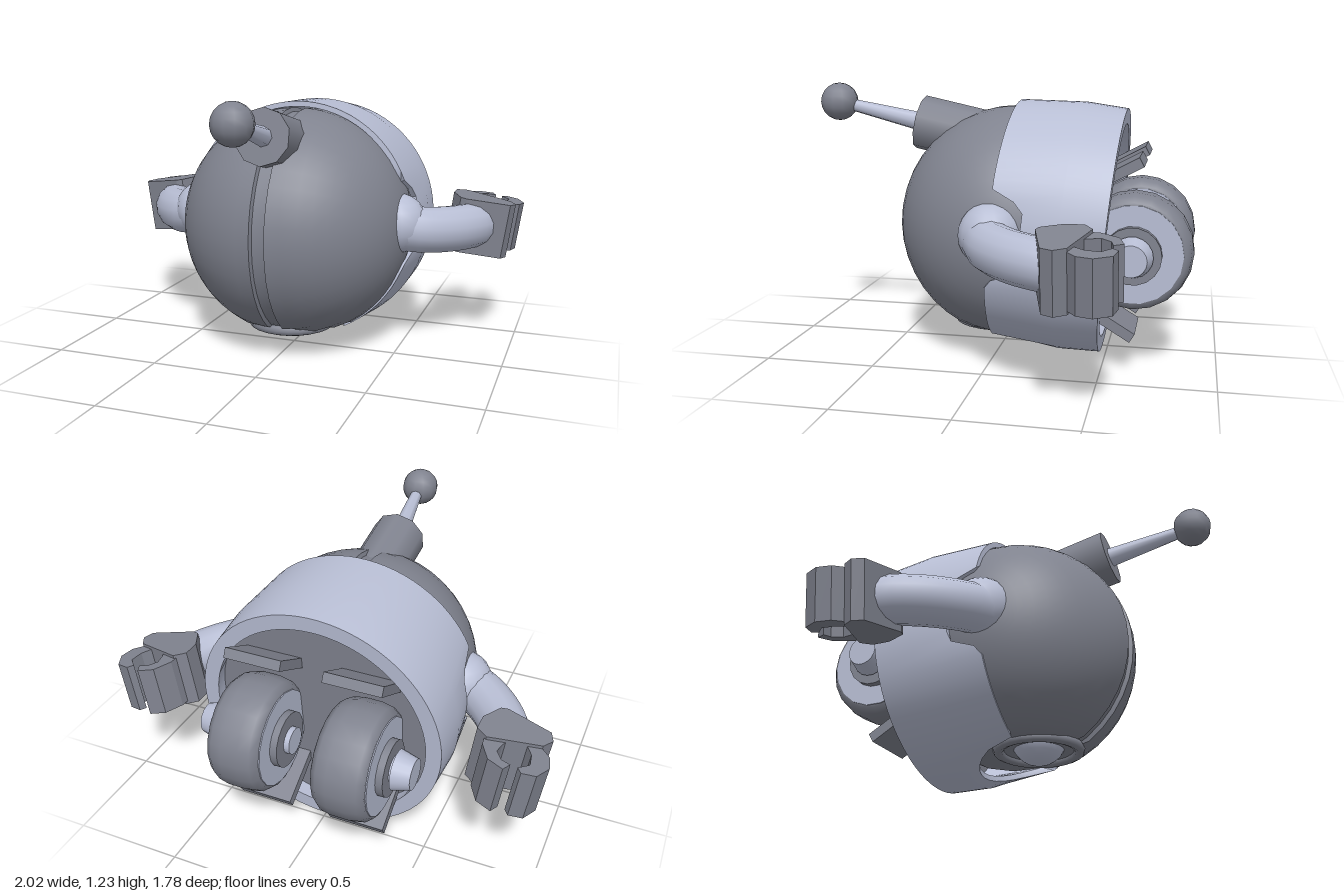
import * as THREE from 'three';
import { toCreasedNormals } from 'three/addons/utils/BufferGeometryUtils.js';

const mat = (name, color) => {
  const m = new THREE.MeshStandardMaterial({ color });
  m.name = name;
  return m;
};
const V2 = (x, y) => new THREE.Vector2(x, y);

export function createModel() {
  const light = mat('pale blue grey', 0xb8bed4);
  const dark = mat('dark grey', 0x80838f);
  const root = new THREE.Group();

  const add = (parent, name, geo, material, x = 0, y = 0, z = 0) => {
    const m = new THREE.Mesh(geo, material);
    m.name = name;
    m.position.set(x, y, z);
    parent.add(m);
    return m;
  };
  // Move every vertex by a rule, then smooth with sharp edges kept
  const reshape = (geo, rule, crease = 0.6) => {
    const p = geo.attributes.position;
    const v = new THREE.Vector3();
    for (let i = 0; i < p.count; i++) {
      v.fromBufferAttribute(p, i);
      rule(v);
      p.setXYZ(i, v.x, v.y, v.z);
    }
    return toCreasedNormals(geo, crease);
  };

  // Round body with a groove down the middle, flat below and behind
  const R = 0.545, centre = [0, 0.605, -0.06], half = [];
  const a0 = Math.asin(0.035 / R);
  for (let i = 0; i <= 12; i++) {
    const a = Math.PI / 2 + (a0 - Math.PI / 2) * (i / 12);
    half.push(V2(Math.max(R * Math.cos(a), 0.0001), -R * Math.sin(a)));
  }
  half.push(V2(R - 0.02, -0.028));
  const profile = [...half, ...half.map(p => V2(p.x, -p.y)).reverse()];
  const bodyGeo = reshape(new THREE.LatheGeometry(profile, 40).rotateZ(-Math.PI / 2), v => {
    v.y = Math.max(v.y, 0.14 - centre[1]);
    v.z = Math.max(v.z, -0.42 - centre[2]);
  });
  add(root, 'body', bodyGeo, dark, ...centre);

  // Eye underneath
  add(root, 'eyeLens', new THREE.SphereGeometry(0.13, 20, 14), light, 0, 0.2, 0.03);
  add(root, 'eyeRing', new THREE.TorusGeometry(0.185, 0.025, 8, 24).rotateX(Math.PI / 2), dark, 0, 0.14, 0.03);

  // Thick tapered shell, cut away around both arms and the eye
  const shell = new THREE.Group();
  shell.name = 'shell';
  shell.position.set(0, 0.62, -0.035);
  shell.rotation.x = -0.085;
  root.add(shell);
  const ring = [[0.565, -0.49], [0.577, -0.3], [0.56, 0], [0.535, 0], [0.525, -0.3], [0.495, -0.49], [0.565, -0.49]];
  const shellGeo = reshape(
    new THREE.LatheGeometry(ring.map(p => V2(...p)), 80).rotateX(Math.PI / 2), v => {
      if (v.z < -0.01) return;
      const dy = Math.abs(v.y - 0.015), dx = Math.abs(v.x);
      if (dy < 0.2) v.z -= 0.14 * Math.min(1, (0.2 - dy) / 0.06);
      if (v.y < 0 && dx < 0.25) v.z -= 0.25 * Math.sqrt(1 - (dx / 0.25) ** 2);
    });
  add(shell, 'shellBand', shellGeo, light);
  add(shell, 'backPlate', new THREE.CylinderGeometry(0.515, 0.515, 0.03, 40).rotateX(Math.PI / 2), dark, 0, 0, -0.4);

  // Antenna
  const antenna = new THREE.Group();
  antenna.name = 'antenna';
  root.add(antenna);
  const rod = (name, from, to, r0, r1, sides, material) => {
    const a = new THREE.Vector3(...from), b = new THREE.Vector3(...to);
    const m = add(antenna, name, new THREE.CylinderGeometry(r1, r0, a.distanceTo(b), sides), material);
    m.position.copy(a).add(b).multiplyScalar(0.5);
    m.quaternion.setFromUnitVectors(new THREE.Vector3(0, 1, 0), b.sub(a).normalize());
  };
  rod('antennaBase', [0, 0.99, 0.05], [0, 1.065, 0.405], 0.125, 0.128, 10, dark);
  rod('antennaStick', [0, 1.06, 0.38], [0.04, 1.155, 0.78], 0.046, 0.026, 8, light);
  add(antenna, 'antennaBall', new THREE.SphereGeometry(0.089, 12, 10), dark, 0.04, 1.16, 0.8);

  // Flat outline in x and depth, extruded upwards around its middle
  const slab = (pts, height) => new THREE.ExtrudeGeometry(
    new THREE.Shape(pts.map(p => V2(p[0] - 0.83, p[1]))),
    { depth: height, bevelEnabled: false }).translate(0, 0, -height / 2).rotateX(-Math.PI / 2);
  const palm = [[0.97, 0.38], [0.95, 0.33], [0.75, 0.28], [0.72, 0.29], [0.67, 0.385], [0.67, 0.465], [0.72, 0.5], [0.94, 0.43]];
  const outerFinger = [[0.93, 0.42], [0.98, 0.465], [0.995, 0.53], [0.96, 0.6], [0.9, 0.615], [0.88, 0.59],
    [0.92, 0.55], [0.91, 0.49], [0.87, 0.43]];
  const innerFinger = [[0.71, 0.48], [0.715, 0.53], [0.76, 0.605], [0.83, 0.63], [0.85, 0.59], [0.81, 0.58],
    [0.78, 0.54], [0.79, 0.49], [0.81, 0.45]];

  for (const [side, s] of [['left', 1], ['right', -1]]) {
    // Arm and claw
    const arm = new THREE.Group();
    arm.name = side + 'Arm';
    arm.scale.x = s;
    root.add(arm);
    add(arm, 'shoulder', new THREE.SphereGeometry(0.14, 16, 12), light, 0.49, 0.635, -0.04);
    const path = new THREE.CatmullRomCurve3([
      [0.5, 0.62, -0.02], [0.6, 0.605, -0.07], [0.71, 0.595, -0.18], [0.775, 0.59, -0.29], [0.8, 0.585, -0.37],
    ].map(p => new THREE.Vector3(...p)));
    add(arm, 'forearm', new THREE.TubeGeometry(path, 12, 0.108, 14), light);
    const hand = new THREE.Group();
    hand.name = 'hand';
    hand.position.set(0.83, 0.58, 0);
    hand.rotation.z = -0.14;
    arm.add(hand);
    add(hand, 'palm', slab(palm, 0.265), dark);
    add(hand, 'outerFinger', slab(outerFinger, 0.235), dark);
    add(hand, 'innerFinger', slab(innerFinger, 0.235), dark);

    // Wheel with hub, and a slanted flap above and below it
    const wheel = new THREE.Group();
    wheel.name = side + 'Wheel';
    wheel.position.set(s * 0.24, 0.545, -0.63);
    wheel.scale.x = s;
    root.add(wheel);
    const tread = [[0.2, -0.118], [0.225, -0.118], [0.247, -0.09], [0.257, -0.04], [0.257, 0.04], [0.247, 0.09], [0.225, 0.118], [0.2, 0.118]];
    const disc = (name, r0, r1, h, material, x = 0) =>
      add(wheel, name, new THREE.CylinderGeometry(r1, r0, h, 18).rotateZ(-Math.PI / 2), material, x);
    add(wheel, 'tire', new THREE.LatheGeometry(tread.map(p => V2(...p)), 20).rotateZ(-Math.PI / 2), dark);
    disc('wheelDisc', 0.215, 0.215, 0.246, light);
    disc('hub', 0.125, 0.125, 0.31, dark);
    disc('axle', 0.06, 0.06, 0.4, light, 0.02);
    disc('hubCap', 0.09, 0.068, 0.08, light, 0.21);
    for (const [name, y, z, tilt] of [['upperFlap', 0.875, -0.535, 0.49], ['lowerFlap', 0.245, -0.515, -0.54]]) {
      const flap = add(root, side + name, new THREE.BoxGeometry(0.26, 0.045, 0.28), dark, s * 0.225, y, z);
      flap.rotation.x = tilt;
    }
  }
  return root;
}
